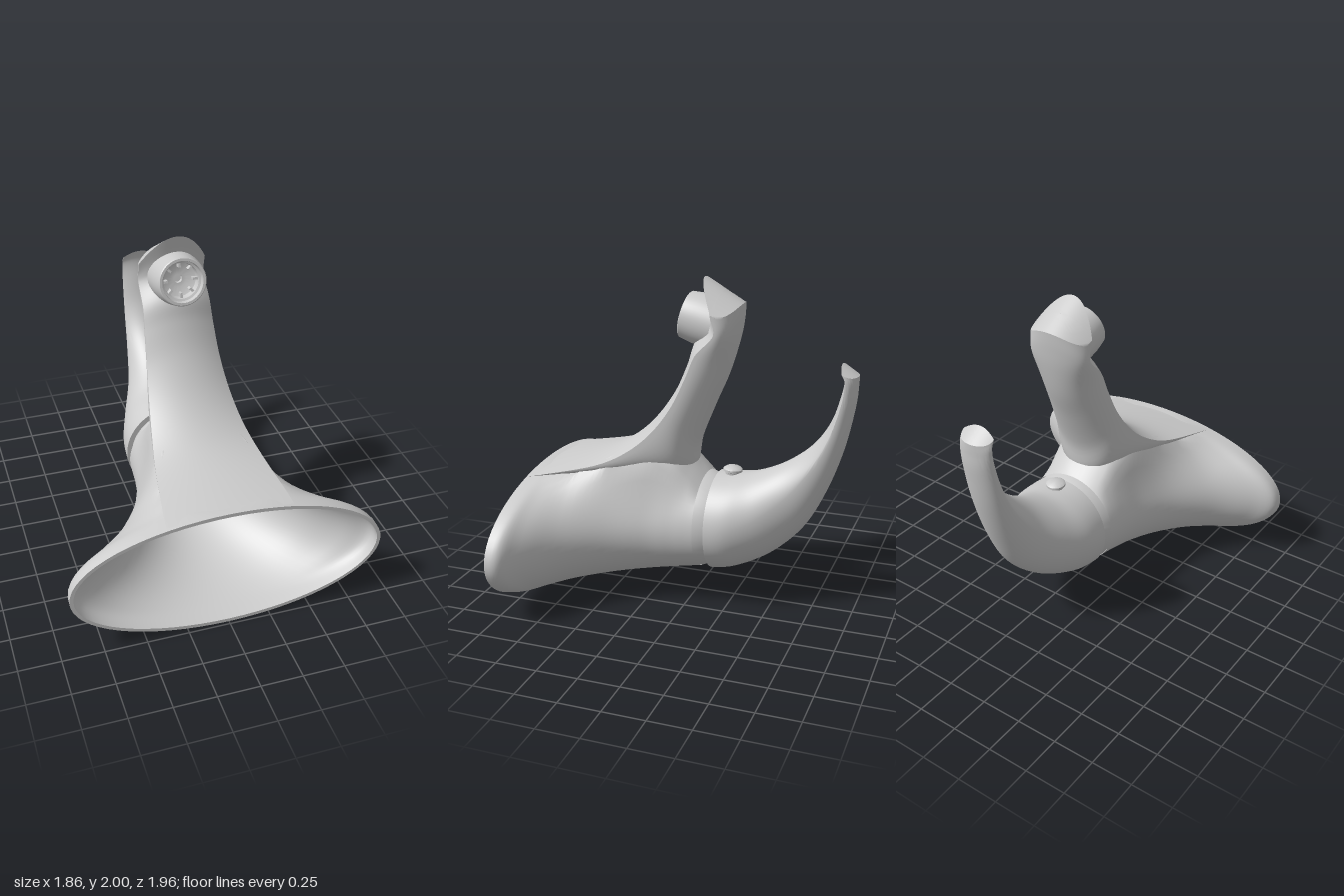
import * as THREE from 'three';
import { toCreasedNormals } from 'three/addons/utils/BufferGeometryUtils.js';

const SEG = 64;
const material = new THREE.MeshStandardMaterial({ color: 0xcccccc, side: THREE.DoubleSide });

// Catmull-Rom resampling of rows of numbers
function smooth(rows, steps) {
  const out = [];
  const at = i => rows[Math.min(rows.length - 1, Math.max(0, i))];
  for (let i = 0; i < rows.length - 1; i++) {
    for (let s = 0; s < steps; s++) {
      const t = s / steps;
      out.push(rows[i].map((p1, k) => {
        const p0 = at(i - 1)[k], p2 = at(i + 1)[k], p3 = at(i + 2)[k];
        return p1 + 0.5 * t * (p2 - p0 + t * (2 * p0 - 5 * p1 + 4 * p2 - p3 + t * (3 * (p1 - p2) + p3 - p0)));
      }));
    }
  }
  out.push(rows[rows.length - 1]);
  return out;
}

// Skin a list of closed rings, each with SEG points
function loft(rings, crease = 0.6) {
  const index = [];
  for (let i = 0; i < rings.length - 1; i++) {
    for (let j = 0; j < SEG; j++) {
      const a = i * SEG + j, b = i * SEG + (j + 1) % SEG;
      index.push(a, b, a + SEG, b, b + SEG, a + SEG);
    }
  }
  const g = new THREE.BufferGeometry();
  g.setAttribute('position', new THREE.Float32BufferAttribute(rings.flat(2), 3));
  g.setIndex(index);
  return toCreasedNormals(g, crease);
}

// Ring between a front and a back point: half width w, crease at depth e,
// q blends the front from round (0) to shallow (1), droop lowers the sides
function section([fz, fy, bz, by, w, e, q, droop], k = 1) {
  const ring = [], depth = Math.hypot(bz - fz, by - fy);
  for (let j = 0; j < SEG; j++) {
    const a = j / SEG * Math.PI * 2, c = Math.cos(a), s = Math.sin(a);
    const d = s >= 0 ? e + (depth - e) * s : e * (q * c * c + (1 - q) * (1 + s));
    const t = 0.5 + k * (d / depth - 0.5);
    ring.push([k * w * c, fy + (by - fy) * t - droop * k * k * c * c, fz + (bz - fz) * t]);
  }
  return ring;
}

// Swept limb closed with a curved cap
function limb(rows) {
  const rings = smooth(rows, 6).map(r => section(r));
  const last = rows[rows.length - 1];
  for (const k of [0.97, 0.75, 0.5, 0.25, 0.005]) rings.push(section(last, k));
  return loft(rings);
}

// Elliptical ring of the flared body with a fillet rising to the spout
function flareRing([z, w, h, top], inset) {
  const ring = [], low = 0.19 * (0.98 - z);
  const cy = (0.8 + low) / 2, ry = (0.8 - low) / 2 - inset;
  const p = 0.2 + 0.17 * Math.max(0, z), reach = Math.min(0.25, w - p);
  for (let j = 0; j < SEG; j++) {
    const a = j / SEG * Math.PI * 2;
    const x = (w - inset) * Math.cos(a);
    let y = cy + ry * Math.sin(a);
    if (!inset && y > cy) {
      const f = Math.max(0, 1 - Math.max(0, Math.abs(x) - p) / reach);
      y = Math.max(y, Math.min(top, y + h * f * f));
    }
    ring.push([x, y, z]);
  }
  return ring;
}

function lathe(points, crease = 0.6) {
  const g = new THREE.LatheGeometry(points.map(p => new THREE.Vector2(p[0], p[1])), 48);
  return toCreasedNormals(g, crease);
}

export function createModel() {
  const model = new THREE.Group();
  const add = (name, geometry, parent = model) => {
    const mesh = new THREE.Mesh(geometry, material);
    mesh.name = name;
    parent.add(mesh);
    return mesh;
  };

  // Hollow flared body: outside, rim, then inside
  const flare = smooth([
    [-0.07, 0.305, 0, 0.8], [0, 0.31, 0.07, 0.87], [0.1, 0.32, 0.16, 1.0],
    [0.25, 0.35, 0.22, 1.06], [0.46, 0.44, 0.18, 0.92], [0.67, 0.6, 0.08, 0.82],
    [0.82, 0.79, 0.03, 0.8], [0.9, 0.915, 0.01, 0.8], [0.98, 0.93, 0, 0.8],
  ], 5);
  add('flaredBody', loft([
    ...flare.map(r => flareRing(r, 0)),
    ...flare.slice().reverse().map(r => flareRing(r, 0.022)),
  ]));

  // Spout rising from the top of the body
  add('spout', limb([
    [0.97, 0.795, 0.955, 0.755, 0.37, 0.025, 1, 0],
    [0.885, 0.81, 0.82, 0.765, 0.36, 0.03, 1, 0],
    [0.59, 0.89, 0.45, 0.785, 0.315, 0.04, 1, 0],
    [0.41, 0.985, 0.2, 0.79, 0.28, 0.05, 1, 0],
    [0.25, 1.13, 0.02, 0.8, 0.25, 0.06, 1, 0],
    [0.115, 1.32, -0.025, 1.0, 0.225, 0.07, 1, 0],
    [0.035, 1.5, -0.115, 1.23, 0.21, 0.07, 1, 0],
    [-0.005, 1.63, -0.2, 1.43, 0.203, 0.07, 1, 0.01],
    [-0.09, 1.75, -0.255, 1.62, 0.2, 0.07, 1, 0.04],
    [-0.085, 1.85, -0.28, 1.76, 0.2, 0.09, 1, 0.09],
    [-0.05, 2.0, -0.29, 1.86, 0.2, 0.11, 1, 0.13],
  ]));

  // Nozzle with a recessed, slotted insert
  const nozzle = new THREE.Group();
  nozzle.name = 'nozzle';
  nozzle.position.set(0, 1.77, 0.068);
  nozzle.rotation.x = 1.343;
  model.add(nozzle);
  add('nozzleShell', lathe([
    [0.155, -0.2], [0.153, -0.08], [0.142, -0.005], [0.137, 0], [0.122, 0],
    [0.118, -0.03], [0.105, -0.035], [0.1, -0.08], [0.05, -0.1], [0.025, -0.1], [0.025, -0.13], [0, -0.13],
  ].reverse()), nozzle);
  for (let i = 0; i < 8; i++) {
    const a = i / 8 * Math.PI * 2;
    const rib = add('nozzleRib', new THREE.BoxGeometry(0.03, 0.04, 0.014), nozzle);
    rib.position.set(0.09 * Math.cos(a), -0.068, -0.09 * Math.sin(a));
    rib.rotation.y = a;
  }

  // Collar between body and handle, with the bore seen from the front
  const collar = add('collar', lathe([
    [0, -0.13], [0.222, -0.13], [0.222, 0.03], [0.27, 0.05], [0.298, 0.04],
    [0.3, -0.07], [0.272, -0.145],
  ]));
  collar.position.y = 0.5;
  collar.rotation.x = Math.PI / 2;

  // Lever handle sweeping back and up
  add('handle', limb([
    [-0.14, 0.808, -0.14, 0.197, 0.305, 0.305, 0, 0],
    [-0.26, 0.815, -0.28, 0.225, 0.294, 0.28, 0, 0],
    [-0.39, 0.84, -0.49, 0.335, 0.238, 0.23, 0.1, 0],
    [-0.56, 0.92, -0.68, 0.52, 0.165, 0.17, 0.25, 0],
    [-0.72, 1.045, -0.81, 0.76, 0.132, 0.1, 0.5, 0],
    [-0.825, 1.2, -0.905, 1.03, 0.118, 0.05, 0.8, 0],
    [-0.88, 1.37, -0.96, 1.29, 0.11, 0.03, 1, 0],
    [-0.897, 1.48, -0.972, 1.42, 0.107, 0.02, 1, 0.01],
    [-0.875, 1.55, -0.975, 1.485, 0.104, 0.02, 1, 0.03],
  ]));
  const base = add('handleBase', new THREE.RingGeometry(0.2, 0.305, 64));
  base.position.set(0, 0.5025, -0.14);

  // Small button on top of the handle
  const button = add('button', lathe([
    [0.04, -0.04], [0.045, 0.005], [0.058, 0.012], [0.058, 0.026], [0.045, 0.036], [0, 0.04],
  ]));
  button.position.set(0, 0.814, -0.23);
  button.rotation.x = -0.06;

  return model;
}
